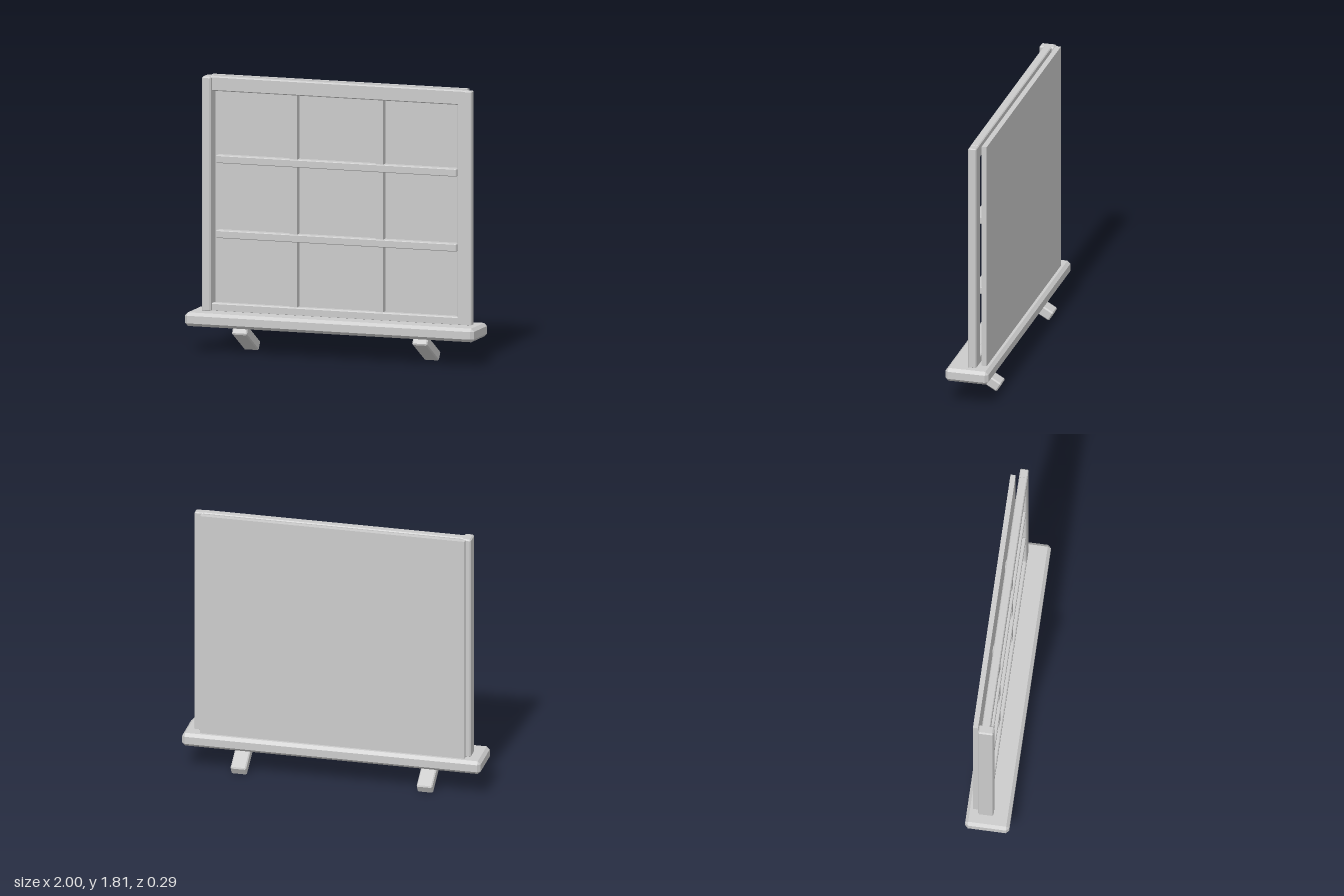
import * as THREE from 'three';
import { ConvexGeometry } from 'three/addons/geometries/ConvexGeometry.js';

const paint = new THREE.MeshStandardMaterial({ color: 0xcccccc });
paint.name = 'grey paint';

// Box with every edge cut at 45 degrees
function chamferedBox(w, h, d, c) {
  const x = w / 2, y = h / 2, z = d / 2, points = [];
  for (const i of [-1, 1]) for (const j of [-1, 1]) for (const k of [-1, 1]) {
    points.push(
      new THREE.Vector3(i * x, j * (y - c), k * (z - c)),
      new THREE.Vector3(i * (x - c), j * y, k * (z - c)),
      new THREE.Vector3(i * (x - c), j * (y - c), k * z));
  }
  return new ConvexGeometry(points);
}

export function createModel() {
  const model = new THREE.Group();
  model.name = 'window';

  // Adds a part from its limits on each axis; no chamfer gives a plain box
  function part(name, [x0, x1], [y0, y1], [z0, z1], chamfer = 0) {
    const size = [x1 - x0, y1 - y0, z1 - z0];
    const geometry = chamfer ? chamferedBox(...size, chamfer) : new THREE.BoxGeometry(...size);
    const mesh = new THREE.Mesh(geometry, paint);
    mesh.name = name;
    mesh.position.set((x0 + x1) / 2, (y0 + y1) / 2, (z0 + z1) / 2);
    model.add(mesh);
    return mesh;
  }

  part('sill', [-1, 1], [0.18, 0.27], [-0.145, 0.145], 0.02);

  // Frame: hinge post on the right, thinner stile and rails
  const frameDepth = [-0.05, 0.005];
  part('hingePost', [-0.92, -0.857], [0.265, 1.815], [-0.07, 0.032], 0.009);
  part('stile', [0.84, 0.937], [0.265, 1.813], frameDepth, 0.006);
  part('topRail', [-0.88, 0.88], [1.72, 1.815], frameDepth, 0.006);
  part('bottomRail', [-0.88, 0.88], [0.265, 0.32], frameDepth, 0.006);

  // Backing panel
  part('backPanel', [-0.887, 0.885], [0.265, 1.815], [-0.107, -0.073]);

  // Glazing bars
  for (const x of [-0.3, 0.295]) {
    part('verticalBar', [x - 0.025, x + 0.025], [0.31, 1.73], [-0.058, -0.012]);
  }
  for (const y of [0.775, 1.27]) {
    part('horizontalBar', [-0.832, 0.832], [y - 0.025, y + 0.025], [-0.06, 0.002], 0.004);
  }

  // Tilted feet below the sill
  for (const x of [-0.625, 0.622]) {
    const foot = part('foot', [x - 0.052, x + 0.052], [0.069, 0.136], [-0.147, 0.132], 0.008);
    foot.rotation.x = -Math.PI / 6;
  }
  return model;
}
